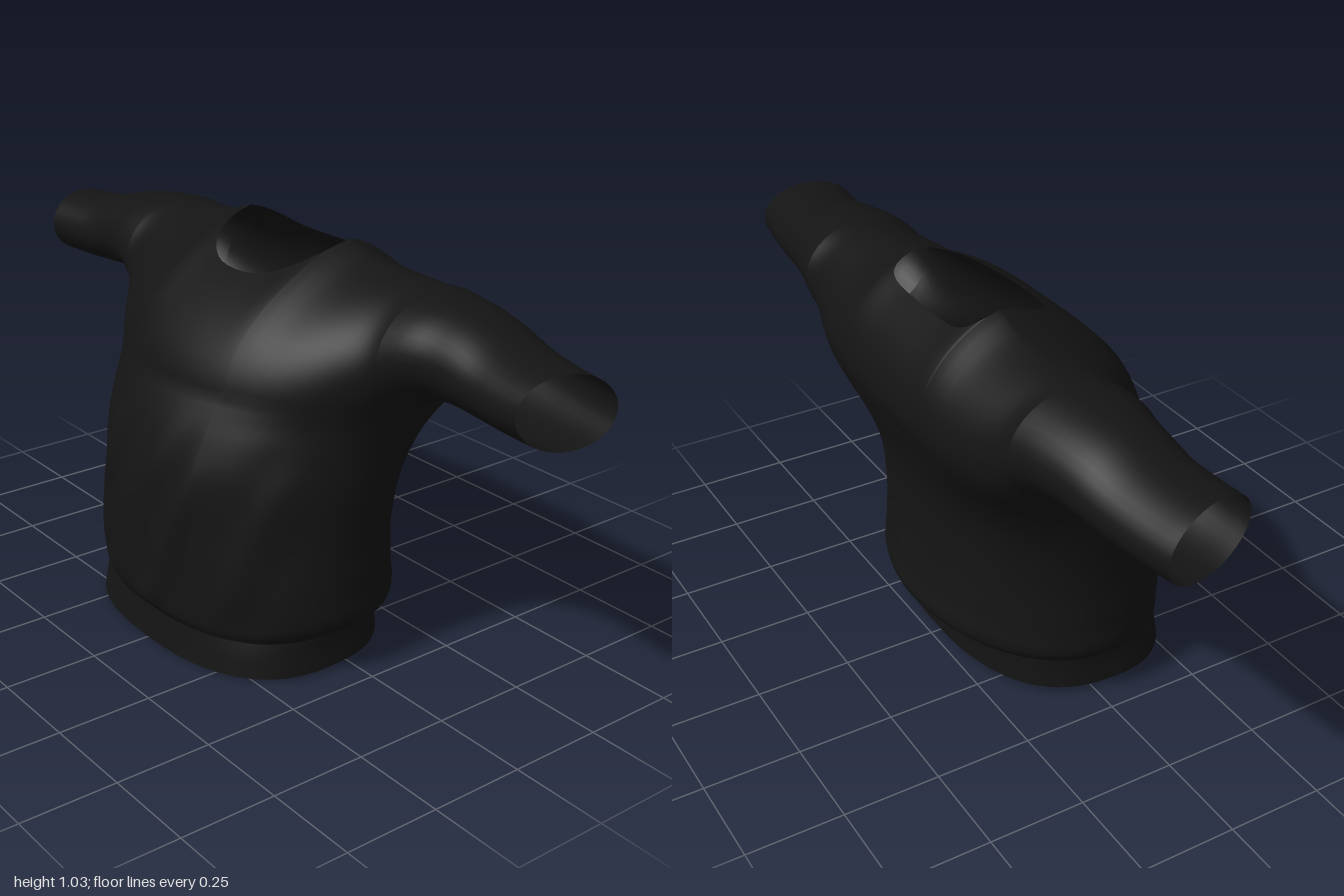
import * as THREE from 'three';
import { mergeGeometries, mergeVertices } from 'three/addons/utils/BufferGeometryUtils.js';

const { lerp, smoothstep } = THREE.MathUtils;

// Smooth lookup through rows of [key, ...values]
function table(rows) {
  const n = rows[0].length - 1;
  const it = new THREE.CubicInterpolant(rows.map(r => r[0]), rows.flatMap(r => r.slice(1)), n, new Float64Array(n));
  return k => [...it.evaluate(k)];
}

// Grid surface from point(i, j)
function grid(nu, nv, point) {
  const pos = [], idx = [];
  for (let j = 0; j <= nv; j++) for (let i = 0; i <= nu; i++) pos.push(...point(i, j));
  for (let j = 0; j < nv; j++) for (let i = 0; i < nu; i++) {
    const a = j * (nu + 1) + i, b = a + 1, c = a + nu + 1, d = c + 1;
    idx.push(a, b, d, a, d, c);
  }
  const g = new THREE.BufferGeometry();
  g.setAttribute('position', new THREE.Float32BufferAttribute(pos, 3));
  g.setIndex(idx);
  return g;
}

function weld(parts) {
  const g = mergeVertices(mergeGeometries(parts), 1e-4);
  g.computeVertexNormals();
  return g;
}

// Torso by height: half width, front z, back z, side seam z, squareness of the section
const torso = table([
  [0.015, 0.415, 0.335, -0.235, 0.05, 2.5],
  [0.08, 0.404, 0.326, -0.236, 0.045, 2.5],
  [0.1, 0.404, 0.326, -0.24, 0.04, 2.4],
  [0.118, 0.432, 0.342, -0.28, 0.03, 2.15],
  [0.138, 0.452, 0.35, -0.302, 0.02, 2],
  [0.22, 0.455, 0.353, -0.295, 0.02, 2],
  [0.35, 0.45, 0.354, -0.285, 0.01, 2],
  [0.5, 0.46, 0.341, -0.29, -0.02, 2.05],
  [0.6, 0.473, 0.312, -0.315, -0.07, 2.15],
  [0.66, 0.495, 0.285, -0.337, -0.11, 2.2],
  [0.7, 0.52, 0.263, -0.35, -0.13, 2.25],
]);
// Height of the shoulder line by distance from the middle
const shoulder = table([
  [0, 1.024], [0.1, 1.025], [0.2, 1.03], [0.28, 1.004], [0.45, 0.99],
  [0.6, 0.98], [0.7, 0.965], [0.8, 0.938], [0.9, 0.926], [1, 0.922],
]);
// Sleeve by distance from the middle: underside y, middle z, half depth, lean of the top
const sleeve = table([
  [0.52, 0.7, -0.13, 0.178, -0.02],
  [0.58, 0.736, -0.142, 0.165, 0],
  [0.65, 0.746, -0.146, 0.15, 0.005],
  [0.8, 0.743, -0.139, 0.135, 0.015],
  [0.9, 0.741, -0.129, 0.13, 0.02],
  [1, 0.742, -0.119, 0.125, 0.025],
]);

const CHEST_Y = 0.7, NECK = 0.2, RIDGE_Z = -0.148;
const [CHEST_W, CHEST_F, CHEST_B, CHEST_SEAM, CHEST_SQUARE] = torso(CHEST_Y);
const SLEEVE_D = sleeve(CHEST_W)[2];
const CENTRE_Z = (CHEST_F + CHEST_B) / 2, CHEST_D = (CHEST_F - CHEST_B) / 2;
const roundness = (u, p) => Math.pow(Math.max(0, 1 - Math.pow(Math.abs(u), p)), 1 / p);

// Column positions: crowded at the neck corner and at the side seam, then out along the sleeve
const half = [];
for (let i = 1; i <= 10; i++) half.push(NECK * Math.sin(i / 10 * Math.PI / 2));
for (let i = 1; i <= 16; i++) half.push(i === 16 ? CHEST_W : NECK + (CHEST_W - NECK) * Math.sin(i / 16 * Math.PI / 2));
const mirror = a => [...a.map(v => -v).reverse(), 0, ...a];
const bodyX = mirror(half);
const sleeveX = [];
for (let i = 1; i <= 20; i++) sleeveX.push(CHEST_W + (1 - CHEST_W) * i / 20);
const allX = mirror([...half, ...sleeveX]);

// Ring point of the lower torso, with slanting folds
function ringPoint(i, y) {
  const n = bodyX.length - 1, front = i <= n;
  const u = bodyX[front ? i : 2 * n - i] / CHEST_W;
  const [w, zf, zb, seam, square] = torso(y);
  const mid = lerp((zf + zb) / 2, seam, u * u);
  const s = front ? 1 : -1;
  const fade = smoothstep(y, 0.11, 0.2) * (1 - smoothstep(y, 0.4, 0.68));
  const x0 = u * w;
  const wave = front
    ? Math.sin(34 * (x0 - 0.4 * y * y - 0.1 * y)) + 0.6 * Math.sin(57 * (x0 - 0.3 * y) + 1)
    : 0.4 * Math.sin(24 * (x0 + 0.3 * y));
  const fold = 1 + 0.022 * fade * wave * (1 - u ** 8);
  const z = mid + s * (zf - zb) / 2 * roundness(u, square) * fold;
  // The hem hangs lower in front
  return [x0, y - 0.045 * z * (1 - smoothstep(y, 0, 0.25)), z];
}

// Arch over the shoulder at one column; it closes into a full loop on the sleeve
function column(x) {
  const ax = Math.abs(x), u = Math.min(1, ax / CHEST_W);
  const power = lerp(1.6, 1, u * u);
  let base = CHEST_Y, mid, d, lean, start = -Math.PI / 2;
  if (ax <= CHEST_W) {
    const chest = CHEST_D * roundness(u, CHEST_SQUARE);
    mid = lerp(CENTRE_Z, CHEST_SEAM, u * u);
    d = (chest ** 6 + SLEEVE_D ** 6) ** (1 / 6);
    lean = lerp(-0.105, -0.02, u * u);
    start = -Math.acos((chest / d) ** (1 / power));
  } else [base, mid, d, lean] = sleeve(ax);
  const rise = shoulder(ax)[0] - base;
  const h = rise / (1 - Math.sin(start));
  const at = phi => {
    const y = h * (Math.sin(phi) - Math.sin(start)), c = Math.cos(phi);
    return [y + base, mid + lean * y / rise + d * Math.sign(c) * Math.abs(c) ** power];
  };
  // Angle at which the arch reaches a given z
  const angleAt = z => {
    let a = 0.3, b = Math.PI - 0.3;
    for (let k = 0; k < 40; k++) {
      const m = (a + b) / 2;
      if (at(m)[1] > z) a = m; else b = m;
    }
    return a;
  };
  // Neck opening: round in front, nearly straight behind
  let front = Math.PI / 2, back = front;
  const v = ax / NECK;
  if (v < 0.9999) {
    front = angleAt(RIDGE_Z + 0.198 * Math.pow(1 - v ** 2.3, 1 / 2.3));
    back = angleAt(RIDGE_Z - 0.096 * Math.pow(1 - v ** 8, 1 / 3));
  }
  return { at, start, front, back };
}

const columns = allX.map(column);
const ARCH = 18;
function archPoint(i, j, isFront) {
  const c = columns[i], x = allX[i], t = j / ARCH;
  const phi = isFront ? lerp(c.start, c.front, t) : lerp(c.back, Math.PI - c.start, t);
  const [y, z] = c.at(phi);
  // Slanted cuffs, shorter at the front
  const slant = 0.06 * smoothstep(Math.abs(x), 0.6, 1) * (z + 0.23) / 0.25;
  return [x - Math.sign(x) * slant, y, z];
}

export function createModel() {
  const group = new THREE.Group();
  const cloth = new THREE.MeshStandardMaterial({ color: 0x141414, side: THREE.DoubleSide });
  const add = (name, geometry) => {
    const mesh = new THREE.Mesh(geometry, cloth);
    mesh.name = name;
    group.add(mesh);
  };
  const around = 2 * (bodyX.length - 1), along = allX.length - 1;

  // Torso, shoulders and sleeves as one sewn surface
  add('sweaterBody', weld([
    grid(around, 40, (i, j) => ringPoint(i, lerp(0.1, CHEST_Y, Math.pow(j / 40, 1.3)))),
    grid(along, ARCH, (i, j) => archPoint(i, j, true)),
    grid(along, ARCH, (i, j) => archPoint(i, j, false)),
  ]));

  // Waistband below the gathered body
  add('waistband', weld([grid(around, 4, (i, j) => ringPoint(i, lerp(0.015, 0.1, j / 4)))]));
  return group;
}
